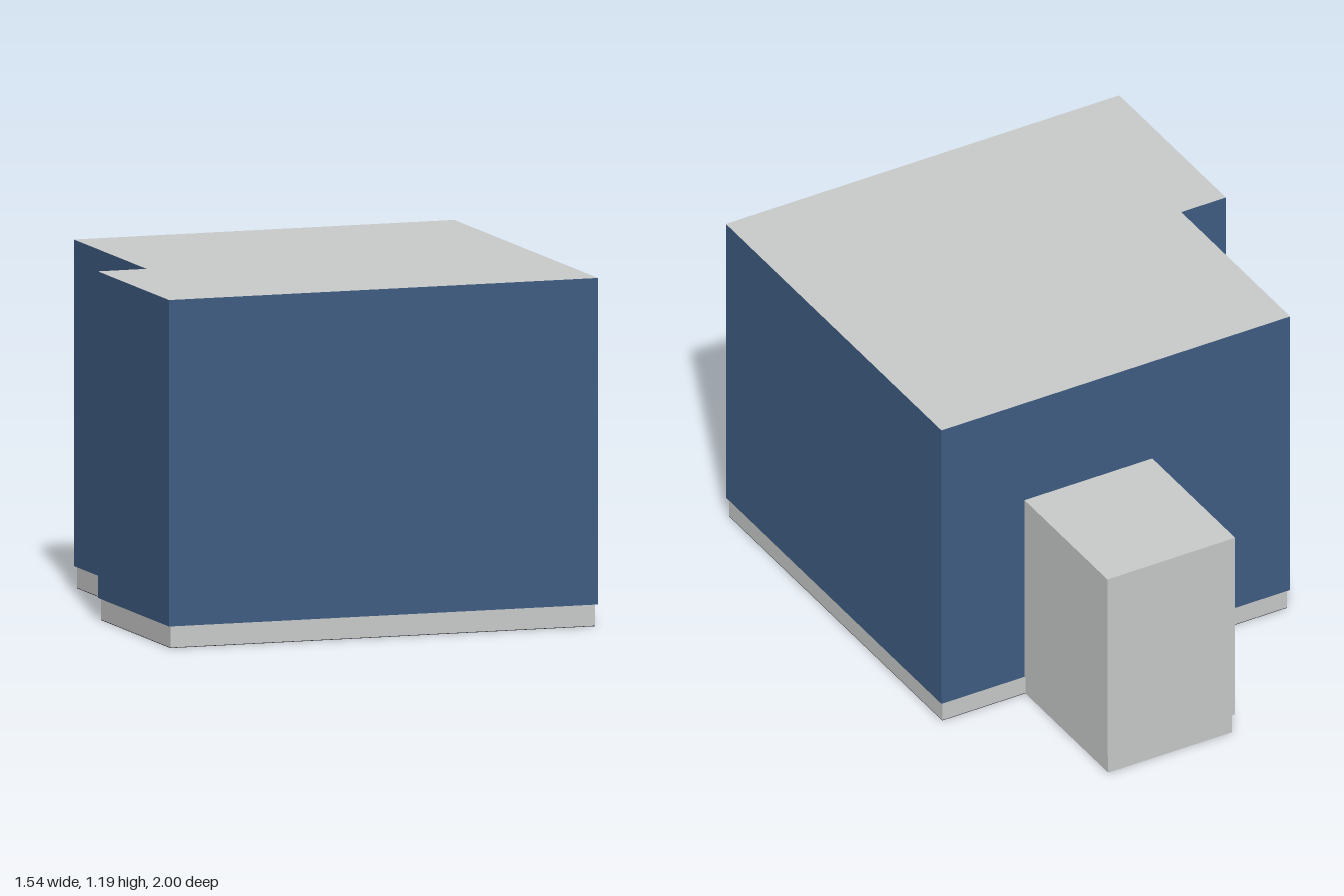
import * as THREE from 'three';

export function createModel() {
  const group = new THREE.Group();
  group.name = 'building';

  const mat = (name, color) => {
    const m = new THREE.MeshStandardMaterial({ color });
    m.name = name;
    return m;
  };
  const grey = mat('light grey', 0xc8cac9);
  const blue = mat('wall blue', 0x405d82);
  const dark = mat('underside dark', 0x2f2f34);

  // L-shaped floor plan, pulled in on every side by inset
  const plan = (inset) => new THREE.Shape([
    [-0.77 + inset, -1 + inset],
    [0.77 - inset, -1 + inset],
    [0.77 - inset, 0.445 - inset],
    [-0.595 + inset, 0.445 - inset],
    [-0.595 + inset, -0.285 - inset],
    [-0.77 + inset, -0.285 - inset],
  ].map(([x, y]) => new THREE.Vector2(x, y)));

  // Upright prism from the plan, with separate cap and side materials
  const prism = (name, inset, y0, y1, caps, sides) => {
    const g = new THREE.ExtrudeGeometry(plan(inset), { depth: y1 - y0, bevelEnabled: false });
    g.rotateX(-Math.PI / 2).translate(0, y0, 0);
    const mesh = new THREE.Mesh(g, [caps, sides]);
    mesh.name = name;
    group.add(mesh);
  };

  const box = (name, x0, x1, y0, y1, z0, z1) => {
    const mesh = new THREE.Mesh(new THREE.BoxGeometry(x1 - x0, y1 - y0, z1 - z0), grey);
    mesh.position.set((x0 + x1) / 2, (y0 + y1) / 2, (z0 + z1) / 2);
    mesh.name = name;
    group.add(mesh);
  };

  // Main block: dark floor plate, recessed plinth, blue walls under a grey roof
  prism('floorPlate', 0.008, 0, 0.002, dark, dark);
  prism('plinth', 0.008, 0.002, 0.075, grey, grey);
  prism('walls', 0, 0.075, 1.19, grey, blue);

  // Rear annex on its own recessed plinth
  box('annexPlinth', -0.047, 0.437, 0, 0.075, -0.992, -0.437);
  box('annex', -0.055, 0.445, 0.075, 0.795, -1, -0.445);

  return group;
}
